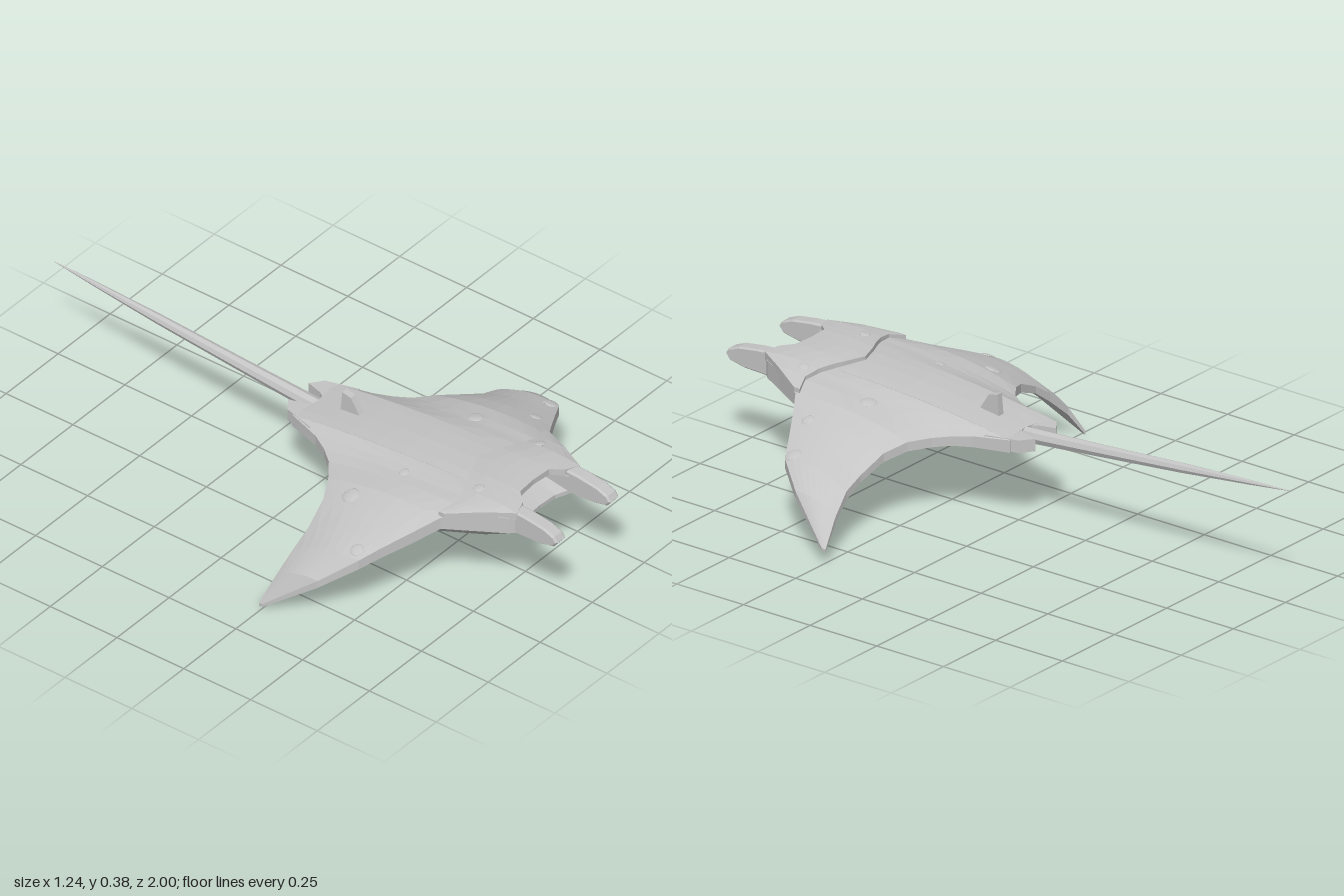
import * as THREE from 'three';

const skin = new THREE.MeshStandardMaterial({ color: 0xc4c4c4, side: THREE.DoubleSide });
skin.name = 'grey skin';
const CX = -0.02; // the body's middle line

function add(parent, name, geometry) {
  const g = geometry.index ? geometry.toNonIndexed() : geometry;
  g.computeVertexNormals();
  const mesh = new THREE.Mesh(g, skin);
  mesh.name = name;
  parent.add(mesh);
  return mesh;
}

// Skin a row of closed rings of equal length
function skinRings(rings) {
  const n = rings[0].length, index = [];
  for (let r = 0; r < rings.length - 1; r++) {
    for (let i = 0; i < n; i++) {
      const a = r * n + i, b = r * n + (i + 1) % n;
      index.push(a, b, a + n, b, b + n, a + n);
    }
  }
  // end caps
  const last = (rings.length - 1) * n;
  for (let i = 1; i < n - 1; i++) {
    index.push(0, i + 1, i, last, last + i, last + i + 1);
  }
  const g = new THREE.BufferGeometry();
  g.setAttribute('position', new THREE.Float32BufferAttribute(rings.flat(2), 3));
  g.setIndex(index);
  return g;
}

// Spanwise loft. Row: x, rear z, front z, top (rear y, bulge, front y),
// underside (rear y, bulge, front y), depth of the mouth cut into the front
function spanLoft(rows, steps = 8) {
  return skinRings(rows.map(([x, z0, z1, t0, tb, t1, b0, bb, b1, mouth = 0]) => {
    const ring = [];
    const point = (y, z) => ring.push([x + CX, y, z]);
    const roof = mouth ? z1 - 0.03 : z1;
    for (let i = 0; i <= steps; i++) {
      const t = i / steps;
      point(t0 + (t1 - t0) * t + 4 * t * (1 - t) * tb, z0 + (roof - z0) * t);
    }
    point(mouth ? 0.318 : (t1 + b1) / 2, z1 - mouth);
    point(mouth ? b1 + 0.014 : b1, z1);
    for (let i = steps; i >= 0; i--) {
      const t = i / steps;
      point(b0 + (b1 - b0) * t + 6.75 * t * t * (1 - t) * bb, z0 + (z1 - z0) * t);
    }
    return ring;
  }));
}

// Half rows mirrored to both sides, followed by each side's own outer rows
function mirrored(half, leftOuter = [], rightOuter = []) {
  const flip = rows => rows.map(([x, ...rest]) => [-x, ...rest]).reverse();
  return [...flip(rightOuter), ...flip(half.slice(1)), ...half, ...leftOuter];
}

export function createModel() {
  const model = new THREE.Group();
  model.name = 'ray';

  // Body and wings; the doubled row at 0.10 forms the side walls of the mouth
  const body = add(model, 'bodyAndWings', spanLoft(mirrored([
    [0, -0.01, 0.82, 0.295, 0.018, 0.352, 0.24, -0.075, 0.274, 0.14],
    [0.065, -0.02, 0.825, 0.293, 0.018, 0.35, 0.245, -0.072, 0.275, 0.14],
    [0.1, -0.03, 0.845, 0.29, 0.02, 0.345, 0.25, -0.07, 0.28, 0.14],
    [0.1, -0.03, 0.845, 0.29, 0.02, 0.345, 0.25, -0.07, 0.28],
    [0.135, 0.085, 0.86, 0.285, 0.02, 0.345, 0.25, -0.065, 0.285],
    [0.165, 0.14, 0.83, 0.28, 0.02, 0.34, 0.25, -0.06, 0.285],
    [0.2, 0.185, 0.76, 0.275, 0.02, 0.335, 0.245, -0.05, 0.28],
    [0.26, 0.23, 0.65, 0.27, 0.02, 0.315, 0.24, -0.035, 0.275],
    [0.33, 0.265, 0.605, 0.248, 0.02, 0.285, 0.22, -0.025, 0.245],
    [0.42, 0.28, 0.55, 0.205, 0.02, 0.25, 0.182, -0.012, 0.215],
  ],
  [
    [0.49, 0.278, 0.51, 0.178, 0.02, 0.223, 0.15, -0.008, 0.192],
    [0.56, 0.265, 0.415, 0.122, 0.015, 0.165, 0.1, 0, 0.14],
    [0.64, 0.24, 0.255, 0.05, 0, 0.053, 0.042, 0, 0.045],
  ],
  [
    [0.48, 0.275, 0.515, 0.165, 0.02, 0.225, 0.137, -0.008, 0.193],
    [0.55, 0.262, 0.415, 0.1, 0.015, 0.145, 0.075, 0, 0.12],
    [0.6, 0.235, 0.25, 0.012, 0, 0.015, 0, 0, 0.004],
  ])));

  // Raised head plate, overhanging the mouth as its upper lip
  const head = add(model, 'headPlate', spanLoft(mirrored([
    [0, 0.59, 0.795, 0.363, 0.005, 0.37, 0.335, 0, 0.352],
    [0.07, 0.615, 0.8, 0.363, 0.005, 0.37, 0.335, 0, 0.35],
    [0.1, 0.63, 0.835, 0.362, 0.006, 0.366, 0.335, 0, 0.343],
    [0.15, 0.65, 0.852, 0.357, 0.008, 0.36, 0.33, 0, 0.335],
    [0.2, 0.66, 0.762, 0.347, 0.004, 0.352, 0.32, 0, 0.325],
    [0.255, 0.638, 0.66, 0.331, 0, 0.332, 0.3, 0, 0.3],
  ]), 4));

  // Horns either side of the mouth: side profile in (z, y)
  const hornProfile = [[0.74, 0.36], [0.82, 0.362], [0.88, 0.358], [0.95, 0.348], [0.988, 0.333],
    [1, 0.315], [0.985, 0.296], [0.93, 0.285], [0.84, 0.282], [0.74, 0.27]];
  const hornShape = new THREE.Shape(hornProfile.map(([z, y]) => new THREE.Vector2(-z, y)));
  // Flaps at the rear of the body: plan outline in (x, z)
  const flapOutline = [[0.015, 0.06], [0.02, -0.01], [0.035, -0.03], [0.05, -0.085],
    [0.09, -0.055], [0.1, -0.02], [0.12, 0.05]];
  for (const [side, s] of [['left', 1], ['right', -1]]) {
    const horn = new THREE.ExtrudeGeometry(hornShape, {
      depth: 0.034, bevelEnabled: true, bevelThickness: 0.006, bevelSize: 0.005, bevelOffset: -0.005, bevelSegments: 1,
    });
    horn.rotateY(Math.PI / 2).translate(CX + s * 0.128 - 0.017, 0, 0);
    add(model, side + 'Horn', horn);

    const flapShape = new THREE.Shape(flapOutline.map(([x, z]) => new THREE.Vector2(s * x, -z)));
    const flap = new THREE.ExtrudeGeometry(flapShape, { depth: 0.04, bevelEnabled: false });
    flap.rotateX(-Math.PI / 2).translate(CX, 0.253, 0);
    add(model, side + 'TailFlap', flap);
  }

  // Dorsal fin swept to the rear
  const finShape = new THREE.Shape([[-0.17, 0.29], [-0.08, 0.29], [-0.088, 0.375], [-0.12, 0.368]]
    .map(p => new THREE.Vector2(...p)));
  const fin = new THREE.ExtrudeGeometry(finShape, { depth: 0.022, bevelEnabled: false });
  fin.rotateY(Math.PI / 2).translate(CX - 0.011, 0, 0);
  add(model, 'dorsalFin', fin);

  // Long tapering tail: z, y, radius
  const tailRows = [[0.06, 0.272, 0.02], [-0.06, 0.275, 0.024], [-0.3, 0.294, 0.02],
    [-0.6, 0.319, 0.016], [-0.85, 0.34, 0.008], [-1, 0.352, 0.001]];
  add(model, 'tail', skinRings(tailRows.map(([z, y, r]) => Array.from({ length: 8 }, (_, i) => {
    const a = -i * Math.PI / 4;
    return [CX + r * Math.cos(a), y + r * Math.sin(a), z];
  }))));

  // Low barnacles seated on the upper skin: x, z, radius
  const ray = new THREE.Raycaster();
  const up = new THREE.Vector3(0, 1, 0);
  model.updateMatrixWorld(true);
  for (const [x, z, r] of [[-0.32, 0.345, 0.028], [0.17, 0.43, 0.026], [0.32, 0.54, 0.02], [0.455, 0.49, 0.026],
    [-0.475, 0.49, 0.022], [-0.18, 0.435, 0.016], [0.145, 0.69, 0.018], [-0.145, 0.69, 0.018]]) {
    ray.set(new THREE.Vector3(x, 1, z), new THREE.Vector3(0, -1, 0));
    const hit = ray.intersectObjects([body, head])[0];
    if (!hit) continue;
    const bump = add(model, 'barnacle', new THREE.SphereGeometry(r, 10, 6).scale(1, 0.22, 1));
    bump.position.copy(hit.point);
    const normal = hit.face.normal.clone();
    if (normal.y < 0) normal.negate();
    bump.quaternion.setFromUnitVectors(up, normal);
  }
  return model;
}
